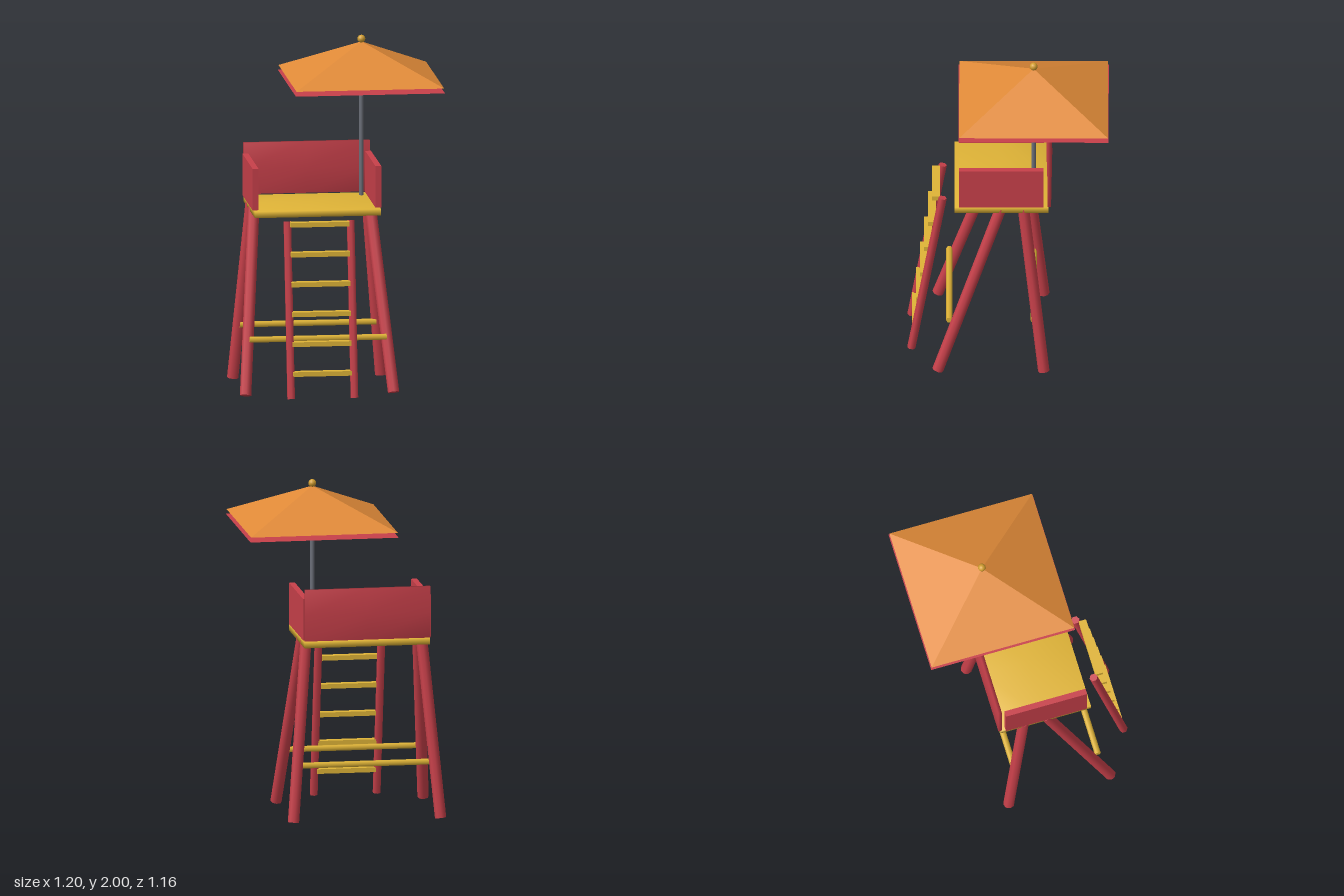
import * as THREE from 'three';
import { mergeVertices } from 'three/addons/utils/BufferGeometryUtils.js';

const CX = -0.143; // centre line of the chair

const red = new THREE.MeshStandardMaterial({ color: 0xc8404a });
const yellow = new THREE.MeshStandardMaterial({ color: 0xe0b437 });
const gold = new THREE.MeshStandardMaterial({ color: 0xd39f30 });
const steel = new THREE.MeshStandardMaterial({ color: 0x6b6f79 });
const orange = new THREE.MeshStandardMaterial({ color: 0xe08a38, flatShading: true });
const lining = new THREE.MeshStandardMaterial({ color: 0xc8404a, side: THREE.DoubleSide });

export function createModel() {
  const model = new THREE.Group();

  function add(name, geometry, material, x = 0, y = 0, z = 0) {
    const mesh = new THREE.Mesh(geometry, material);
    mesh.name = name;
    mesh.position.set(x, y, z);
    model.add(mesh);
    return mesh;
  }

  // Round bar between two points
  function bar(name, from, to, radius, sides, material) {
    const a = new THREE.Vector3(...from), b = new THREE.Vector3(...to);
    const dir = b.clone().sub(a);
    const mesh = add(name, new THREE.CylinderGeometry(radius, radius, dir.length(), sides), material);
    mesh.position.copy(a).add(b).multiplyScalar(0.5);
    mesh.quaternion.setFromUnitVectors(new THREE.Vector3(0, 1, 0), dir.normalize());
    return mesh;
  }

  // Softly bulging board: thickest in the middle, smooth normals all round
  function cushionBoard(width, length, thickness, edge) {
    const g = new THREE.BoxGeometry(width, thickness, length, 2, 1, 2);
    const p = g.attributes.position;
    for (let i = 0; i < p.count; i++) {
      const border = Math.max(Math.abs(p.getX(i)) / width, Math.abs(p.getZ(i)) / length) > 0.4;
      if (border) p.setY(i, p.getY(i) * edge);
    }
    g.deleteAttribute('normal');
    g.deleteAttribute('uv');
    const smooth = mergeVertices(g);
    smooth.computeVertexNormals();
    return smooth;
  }

  // Splayed legs and cross bars
  for (const s of [-1, 1]) {
    const side = s > 0 ? 'left' : 'right';
    bar(side + 'FrontLeg', [CX + s * 0.428, 0.012, 0.403], [CX + s * 0.336, 1.045, 0.04], 0.033, 8, red);
    bar(side + 'BackLeg', [CX + s * 0.428, 0.006, -0.205], [CX + s * 0.336, 1.045, -0.088], 0.033, 8, red);
  }
  bar('frontCrossBar', [CX - 0.395, 0.325, 0.338], [CX + 0.395, 0.325, 0.338], 0.018, 6, yellow);
  bar('backCrossBar', [CX - 0.395, 0.325, -0.147], [CX + 0.395, 0.325, -0.147], 0.018, 6, yellow);

  // Seat, backrest and arm panels
  add('seat', cushionBoard(0.73, 0.54, 0.046, 0.8), yellow, CX + 0.003, 1.046, 0.037);
  add('backrest', cushionBoard(0.73, 0.3, 0.034, 0.6), red, CX + 0.003, 1.22, -0.237).rotation.x = Math.PI / 2;
  for (const s of [-1, 1]) {
    add(s > 0 ? 'leftArm' : 'rightArm', new THREE.BoxGeometry(0.034, 0.242, 0.486), red,
      CX + s * 0.355, 1.19, 0.038);
  }

  // Ladder
  for (const s of [-1, 1]) {
    bar(s > 0 ? 'leftLadderRail' : 'rightLadderRail',
      [CX + s * 0.183, 0.013, 0.555], [CX + s * 0.183, 1.018, 0.375], 0.024, 6, red);
  }
  for (let i = 0; i < 6; i++) {
    add('ladderRung', new THREE.BoxGeometry(0.34, 0.027, 0.045), yellow,
      CX, 1.005 - i * 0.17, 0.413 + i * 0.023);
  }

  // Sunshade: pole, pyramid canopy, lining sheet and finial
  const px = 0.166, pz = -0.147;
  add('shadePole', new THREE.CylinderGeometry(0.013, 0.013, 0.92, 10), steel, px, 1.49, pz);
  const canopy = new THREE.ConeGeometry(0.427 * Math.SQRT2, 0.207, 4).rotateY(Math.PI / 4);
  add('canopy', canopy, orange, px, 1.858, pz);
  add('canopyLining', new THREE.PlaneGeometry(0.862, 0.862).rotateX(-Math.PI / 2), lining, px, 1.727, pz);
  add('finial', new THREE.SphereGeometry(0.023, 12, 8), gold, px, 1.977, pz);

  return model;
}
